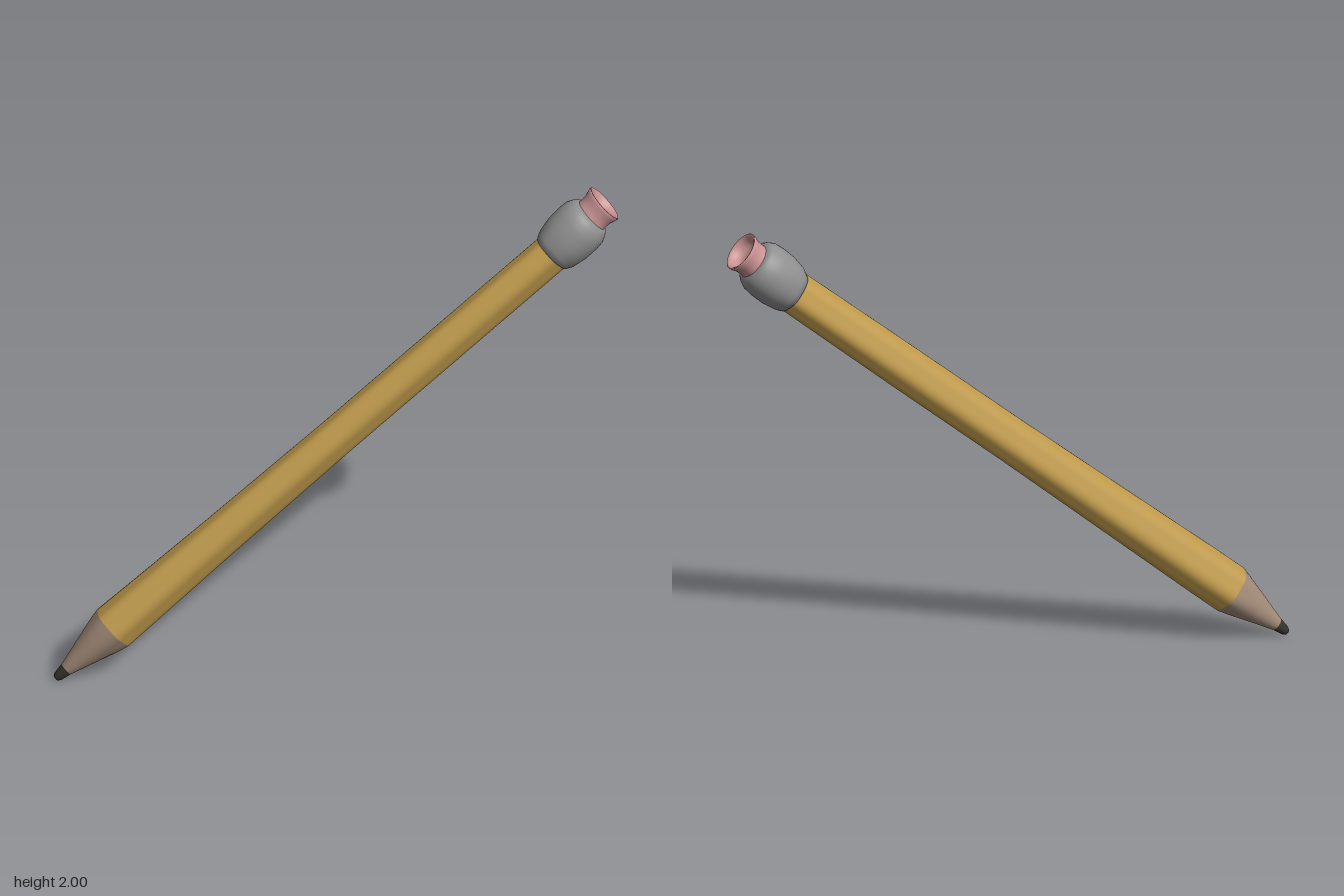
import * as THREE from 'three';

const material = (name, color) => new THREE.MeshStandardMaterial({ name, color });

// Spine: lead tip, wood/paint joint, ferrule joint, eraser rim
const SPINE = [
  [-0.682, 0.012, 0.942],
  [-0.54, 0.225, 0.758],
  [0.488, 1.735, -0.7],
  [0.612, 1.94, -0.878],
].map((p) => new THREE.Vector3(...p));
const AXIS = SPINE[3].clone().sub(SPINE[0]).normalize();
const WIDE = new THREE.Vector3(0, 1, 1).projectOnPlane(AXIS).normalize();
const NARROW = AXIS.clone().cross(WIDE);
const SIDES = 36;

function spineAt(s) {
  const i = Math.min(2, Math.floor(s));
  return SPINE[i].clone().lerp(SPINE[i + 1], s - i);
}

// Skin rings [position on spine, wide radius, narrow radius, six-sidedness]
function loft(name, mat, rings) {
  const positions = [];
  const index = [];
  rings.forEach(([s, wide, narrow = wide, hex = 0], i) => {
    const c = spineAt(s);
    for (let j = 0; j < SIDES; j++) {
      const a = (j / SIDES) * Math.PI * 2;
      const k = 1 + hex * (Math.cos(6 * a) - 0.5);
      const p = c.clone()
        .addScaledVector(WIDE, Math.cos(a) * wide * k)
        .addScaledVector(NARROW, Math.sin(a) * narrow * k);
      positions.push(p.x, p.y, p.z);
      if (i === 0) continue;
      const n = (j + 1) % SIDES;
      const lo = (i - 1) * SIDES;
      const hi = i * SIDES;
      index.push(lo + j, lo + n, hi + j, lo + n, hi + n, hi + j);
    }
  });
  const geometry = new THREE.BufferGeometry();
  geometry.setAttribute('position', new THREE.Float32BufferAttribute(positions, 3));
  geometry.setIndex(index);
  geometry.computeVertexNormals();
  const mesh = new THREE.Mesh(geometry, mat);
  mesh.name = name;
  return mesh;
}

export function createModel() {
  const pencil = new THREE.Group();
  pencil.name = 'pencil';

  // Blunt dark lead
  pencil.add(loft('leadTip', material('graphite', 0x34322c), [
    [0, 0.0005], [0.005, 0.012], [0.04, 0.019], [0.12, 0.024], [0.2, 0.028],
  ]));

  // Sharpened wood cone
  pencil.add(loft('woodCone', material('bareWood', 0xa38b79), [
    [0.19, 0.028], [0.4, 0.047, 0.046], [0.65, 0.07, 0.067, 0.01],
    [0.87, 0.09, 0.085, 0.03], [1, 0.1, 0.092, 0.04],
  ]));

  // Softly six-sided painted shaft, thinner through the middle
  pencil.add(loft('shaft', material('yellowPaint', 0xc09b4c), [
    [1, 0.1, 0.092, 0.04], [1.06, 0.1, 0.088, 0.04], [1.25, 0.095, 0.079, 0.04],
    [1.5, 0.089, 0.073, 0.04], [1.75, 0.089, 0.073, 0.04], [2.05, 0.086, 0.074, 0.04],
  ]));

  // Swollen metal ferrule with rounded shoulder
  pencil.add(loft('ferrule', material('greyMetal', 0x909090), [
    [2, 0.07, 0.06], [2, 0.09, 0.08, 0.02], [2.1, 0.102, 0.096, 0.015], [2.3, 0.112, 0.109],
    [2.5, 0.113, 0.111], [2.62, 0.109, 0.107], [2.7, 0.098, 0.096],
    [2.75, 0.085], [2.76, 0.06],
  ]));

  // Flared eraser with a hollow end
  pencil.add(loft('eraser', material('pinkRubber', 0xca9393), [
    [2.72, 0.074], [2.8, 0.072], [2.88, 0.074], [2.95, 0.081], [2.99, 0.083], [3, 0.079],
    [2.98, 0.07], [2.92, 0.062], [2.86, 0.054], [2.84, 0.03], [2.84, 0.0005],
  ]));

  return pencil;
}
